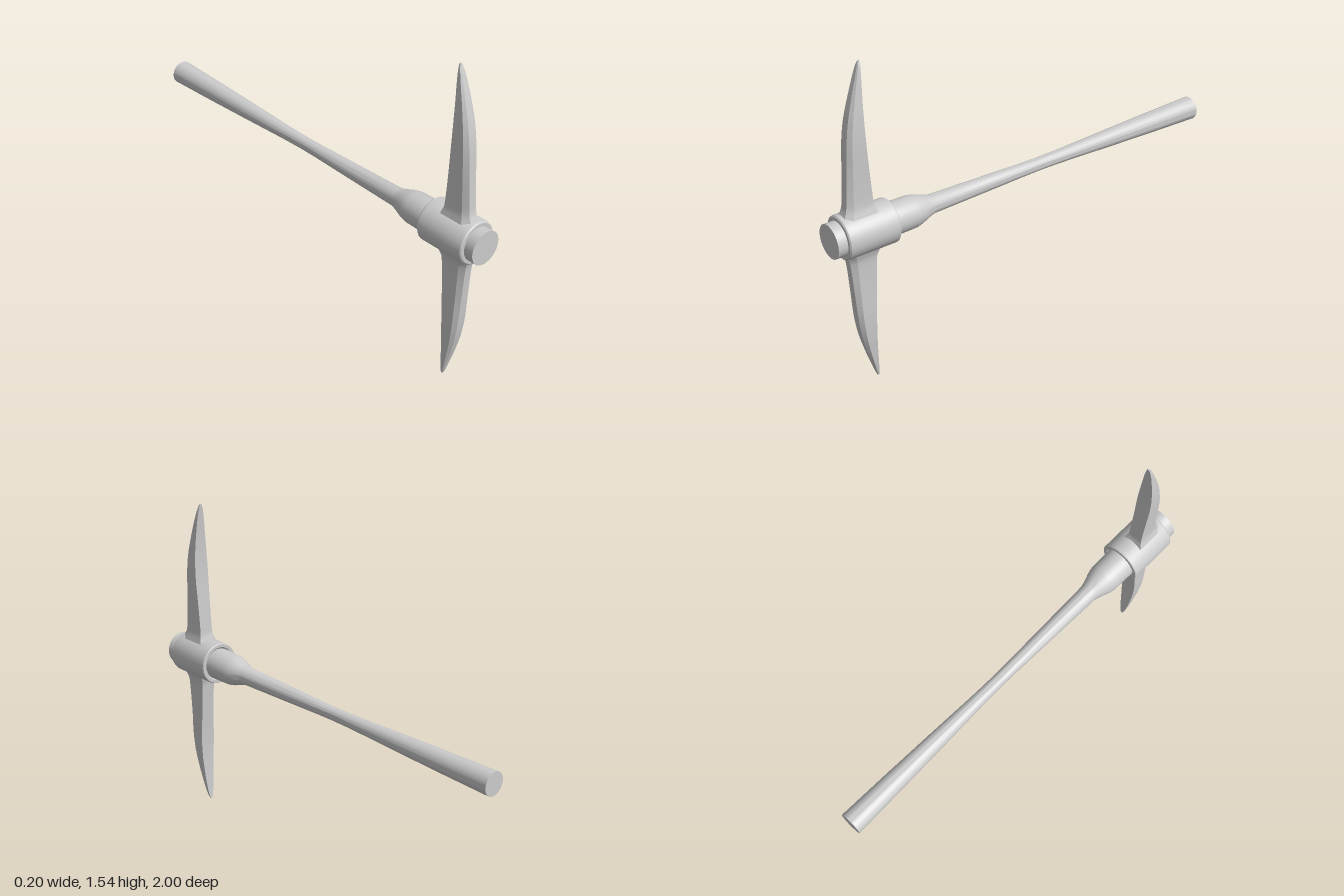
import * as THREE from 'three';
import { toCreasedNormals } from 'three/addons/utils/BufferGeometryUtils.js';

const AXIS_Y = 0.77; // height of the handle's axis

// Turned part along z from [z, radius] pairs, back to front
function turned(profile, material, name) {
  const points = profile.map(([z, r]) => new THREE.Vector2(r, z));
  const geometry = new THREE.LatheGeometry(points, 40).rotateX(Math.PI / 2);
  const mesh = new THREE.Mesh(toCreasedNormals(geometry, 0.5), material);
  mesh.name = name;
  mesh.position.y = AXIS_Y;
  return mesh;
}

// Smooth curve through [distance, value] pairs, sampled at a distance
function sample(stations, column, d) {
  let i = 0;
  while (i < stations.length - 2 && d > stations[i + 1][0]) i++;
  const at = (k) => stations[Math.min(Math.max(k, 0), stations.length - 1)];
  const slope = (k) => (at(k + 1)[column] - at(k - 1)[column]) / (at(k + 1)[0] - at(k - 1)[0]);
  const [a, b] = [at(i), at(i + 1)];
  const h = b[0] - a[0];
  const t = (d - a[0]) / h;
  return (2 * t ** 3 - 3 * t ** 2 + 1) * a[column] + (t ** 3 - 2 * t ** 2 + t) * h * slope(i)
    + (3 * t ** 2 - 2 * t ** 3) * b[column] + (t ** 3 - t ** 2) * h * slope(i + 1);
}

// Pick blade: chamfered sections lofted from the collar to the tip
function bladeGeometry() {
  // distance from axis, back z, front z, half width
  const stations = [
    [0.06, 0.785, 0.945, 0.056],
    [0.095, 0.790, 0.935, 0.046],
    [0.12, 0.798, 0.924, 0.038],
    [0.17, 0.802, 0.917, 0.035],
    [0.30, 0.811, 0.908, 0.036],
    [0.42, 0.818, 0.900, 0.038],
    [0.52, 0.820, 0.886, 0.035],
    [0.62, 0.817, 0.861, 0.027],
    [0.70, 0.812, 0.837, 0.019],
    [0.75, 0.808, 0.821, 0.011],
    [0.77, 0.806, 0.813, 0.004],
  ];
  // [x, depth] as fractions of half width and thickness
  const section = [[-1, 0], [-1, 0.78], [-0.55, 1], [0.55, 1], [1, 0.78], [1, 0]];
  const n = section.length;
  const rows = 48;
  const positions = [];
  const index = [];
  for (let r = 0; r <= rows; r++) {
    const d = 0.06 + 0.71 * (r / rows);
    const [back, front, half] = [1, 2, 3].map((c) => sample(stations, c, d));
    for (const [x, f] of section) positions.push(x * half, d, back + (front - back) * f);
    if (r === rows) break;
    for (let i = 0; i < n; i++) {
      const a = r * n + i;
      const b = r * n + (i + 1) % n;
      index.push(a, b, b + n, a, b + n, a + n);
    }
  }
  // Tip cap
  for (let i = 1; i < n - 1; i++) index.push(rows * n, rows * n + i, rows * n + i + 1);
  const geometry = new THREE.BufferGeometry();
  geometry.setAttribute('position', new THREE.Float32BufferAttribute(positions, 3));
  geometry.setIndex(index);
  return toCreasedNormals(geometry, 0.45);
}

export function createModel() {
  const group = new THREE.Group();
  group.name = 'pickaxe';
  const material = new THREE.MeshStandardMaterial({ color: 0xcccccc });

  // Handle: flared grip, slim waist, thick head end
  group.add(turned([
    [-1, 0], [-1, 0.055], [-0.75, 0.049], [-0.5, 0.0415], [-0.25, 0.033], [-0.17, 0.031],
    [-0.08, 0.030], [0, 0.031], [0.2, 0.036], [0.5, 0.043], [0.53, 0.052], [0.57, 0.066],
    [0.6, 0.073], [0.7, 0.075], [1, 0.078], [1, 0],
  ], material, 'handle'));

  // Collar with softened rims
  group.add(turned([
    [0.72, 0.07], [0.71, 0.082], [0.71, 0.097], [0.714, 0.1], [0.942, 0.1],
    [0.950, 0.098], [0.955, 0.092], [0.955, 0.07],
  ], material, 'collar'));

  // Upper and lower blades
  const blade = bladeGeometry();
  ['upperBlade', 'lowerBlade'].forEach((name, i) => {
    const mesh = new THREE.Mesh(blade, material);
    mesh.name = name;
    mesh.position.y = AXIS_Y;
    mesh.rotation.z = i * Math.PI;
    group.add(mesh);
  });
  return group;
}
